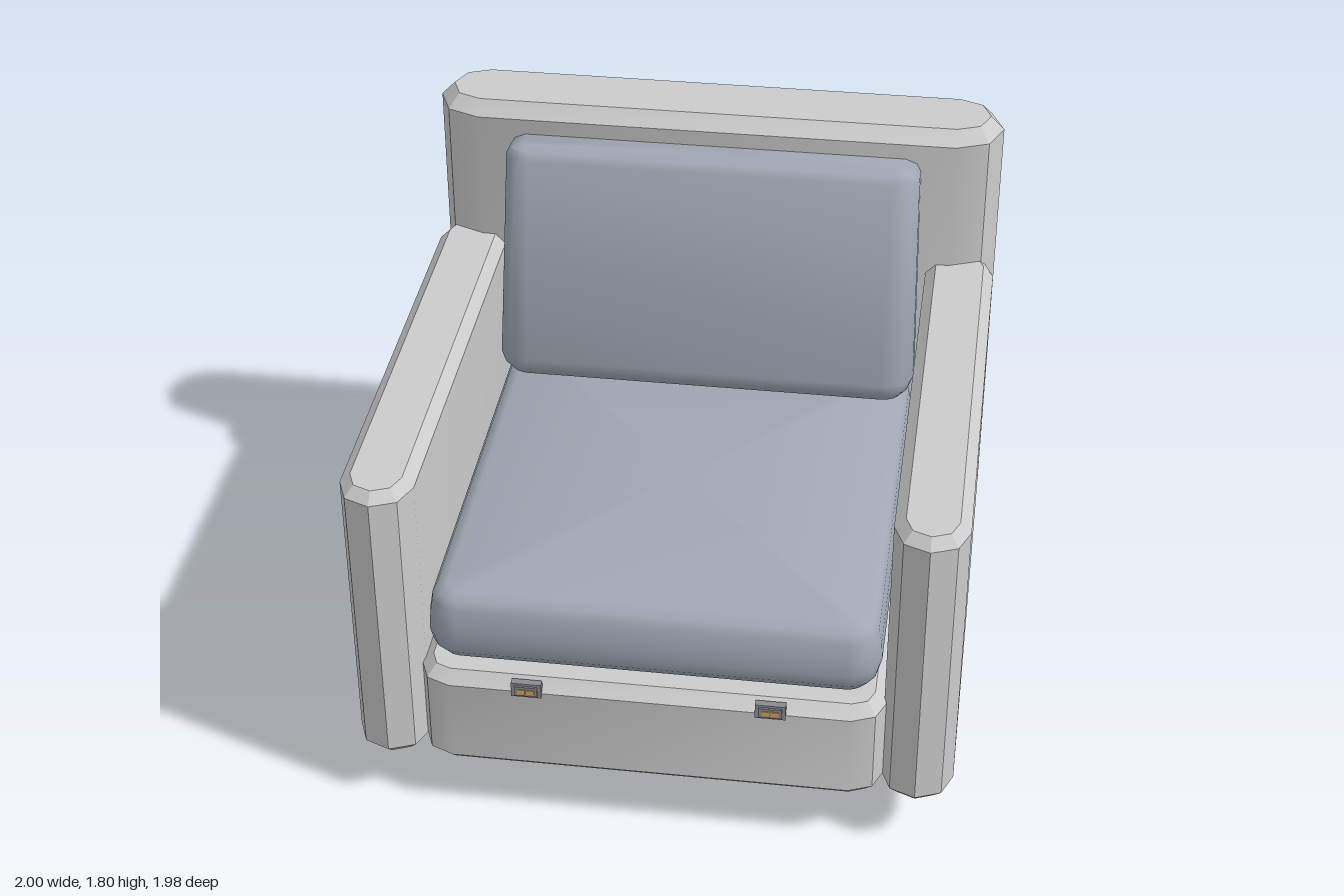
import * as THREE from 'three';
import { toCreasedNormals } from 'three/addons/utils/BufferGeometryUtils.js';

// Rounded-rectangle outline, shrunk by an inset
function outline(hx, hz, r, seg, inset) {
  const pts = [];
  const corners = [[1, 1], [-1, 1], [-1, -1], [1, -1]];
  corners.forEach(([sx, sz], c) => {
    for (let k = 0; k <= seg; k++) {
      const a = (c + k / seg) * Math.PI / 2;
      const p = new THREE.Vector2(
        sx * (hx - r) + (r - inset) * Math.cos(a),
        sz * (hz - r) + (r - inset) * Math.sin(a));
      if (!pts.length || p.distanceTo(pts[pts.length - 1]) > 1e-5) pts.push(p);
    }
  });
  if (pts[0].distanceTo(pts[pts.length - 1]) < 1e-5) pts.pop();
  return pts;
}

// Closed solid through stacked outlines; layers are [height, inset]
function loft(hx, hz, r, seg, layers, crease) {
  const pos = [], idx = [];
  let n = 0;
  for (const [y, inset] of layers) {
    const ring = outline(hx, hz, r, seg, inset);
    n = ring.length;
    for (const p of ring) pos.push(p.x, y, p.y);
  }
  const top = (layers.length - 1) * n;
  const lowMid = pos.length / 3, topMid = lowMid + 1;
  pos.push(0, layers[0][0], 0, 0, layers[layers.length - 1][0], 0);
  for (let j = 0; j < n; j++) {
    const k = (j + 1) % n;
    for (let i = 0; i < top; i += n) {
      idx.push(i + j, i + n + j, i + k, i + k, i + n + j, i + n + k);
    }
    idx.push(lowMid, j, k, topMid, top + k, top + j);
  }
  const g = new THREE.BufferGeometry();
  g.setAttribute('position', new THREE.Float32BufferAttribute(pos, 3));
  g.setIndex(idx);
  return toCreasedNormals(g, crease);
}

// Hard slab with chamfered top and bottom edges
function slab(hx, hz, r, y0, y1, bevel) {
  return loft(hx, hz, r, 2,
    [[y0, bevel], [y0 + bevel, 0], [y1 - bevel, 0], [y1, bevel]], 0.5);
}

export function createModel() {
  const model = new THREE.Group();
  model.name = 'armchair';
  const shell = new THREE.MeshStandardMaterial({ color: 0xcccccc });
  const fabric = new THREE.MeshStandardMaterial({ color: 0xa0a8b4 });
  const dark = new THREE.MeshStandardMaterial({ color: 0x8a8b91 });
  const brass = new THREE.MeshStandardMaterial({ color: 0xd9a850 });

  const add = (name, geometry, material, x = 0, y = 0, z = 0, parent = model) => {
    const mesh = new THREE.Mesh(geometry, material);
    mesh.name = name;
    mesh.position.set(x, y, z);
    parent.add(mesh);
    return mesh;
  };

  // Frame
  add('plinth', slab(0.70, 0.70, 0.06, 0, 0.2, 0.02), dark, 0, 0, 0.02);
  add('seatBase', slab(0.77, 0.885, 0.11, 0.2, 0.58, 0.04), shell, 0, 0, 0.085);
  add('backPanel', slab(1, 0.16, 0.16, 0.2, 1.8, 0.048), shell, 0, 0, -0.83);
  const arm = slab(0.12, 0.885, 0.12, 0.2, 1.28, 0.036);
  add('leftArm', arm, shell, 0.88, 0, 0.085);
  add('rightArm', arm, shell, -0.88, 0, 0.085);

  // Cushions
  add('seatCushion', loft(0.745, 0.8, 0.11, 4, [
    [0.58, 0.09], [0.60, 0.045], [0.64, 0.012], [0.69, 0],
    [0.75, 0.005], [0.81, 0.015], [0.84, 0.03], [0.855, 0.065],
  ], 0.75), fabric, 0, 0, 0.13);
  const backCushion = add('backCushion', loft(0.745, 0.15, 0.11, 4, [
    [0, 0.09], [0.02, 0.045], [0.05, 0.015], [0.09, 0],
    [0.83, 0.02], [0.86, 0.035], [0.876, 0.075],
  ], 0.75), fabric, 0, 0.84, -0.485);
  backCushion.rotation.x = -0.175;

  // Front clips with paired brass inlays
  for (const side of [1, -1]) {
    const clip = new THREE.Group();
    clip.name = side > 0 ? 'leftClip' : 'rightClip';
    clip.position.set(side * 0.4, 0.553, 0);
    model.add(clip);
    add('clipPlate', new THREE.BoxGeometry(0.1, 0.054, 0.025), dark, 0, 0, 0.965, clip);
    add('clipFace', new THREE.BoxGeometry(0.075, 0.036, 0.008), dark, 0, 0, 0.98, clip);
    for (const x of [-0.015, 0.015]) {
      add('clipInlay', new THREE.BoxGeometry(0.025, 0.017, 0.004), brass, x, 0, 0.985, clip);
    }
  }
  return model;
}
